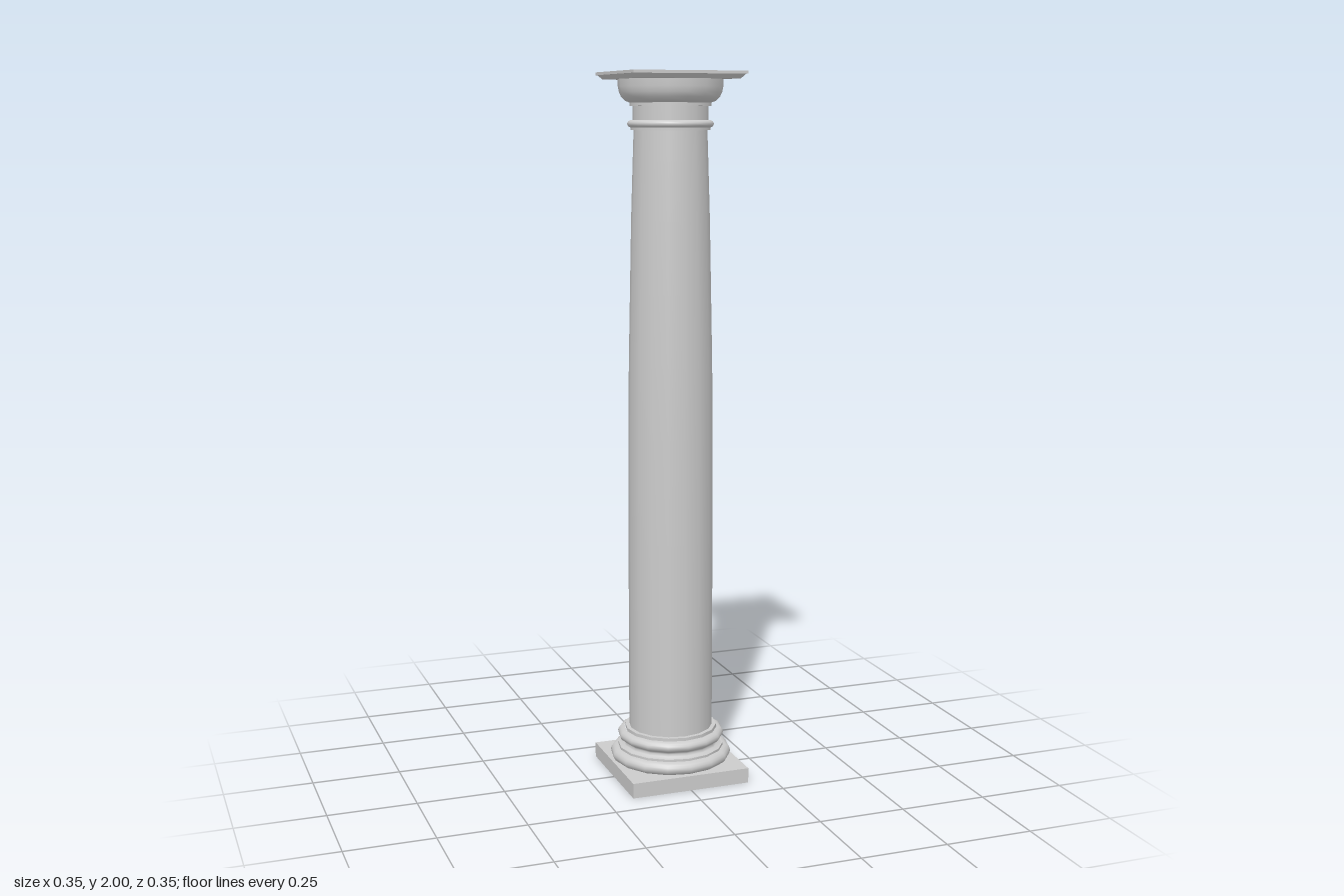
import * as THREE from 'three';

const SIDES = 16;
const material = new THREE.MeshStandardMaterial({ color: 0xcccccc });

export function createModel() {
  const column = new THREE.Group();
  column.name = 'column';

  const add = (name, geometry, y = 0) => {
    const mesh = new THREE.Mesh(geometry, material);
    mesh.name = name;
    mesh.position.y = y;
    column.add(mesh);
  };

  // Turned part: profile of [radius, height] from bottom to top
  const turned = (name, profile) =>
    add(name, new THREE.LatheGeometry(profile.map(([r, y]) => new THREE.Vector2(r, y)), SIDES));

  // Rounded moulding bulging from radius `inner` to `outer`, between two heights
  const roll = (name, inner, outer, y0, y1) => {
    const profile = [];
    for (let i = 0; i <= 8; i++) {
      const a = (i / 8 - 0.5) * Math.PI;
      profile.push([inner + (outer - inner) * Math.cos(a), (y0 + y1) / 2 + Math.sin(a) * (y1 - y0) / 2]);
    }
    turned(name, profile);
  };

  // Flat-topped ring with square edges
  const fillet = (name, r, y0, y1) =>
    add(name, new THREE.CylinderGeometry(r, r, y1 - y0, SIDES), (y0 + y1) / 2);

  // Square slab, optionally narrower at the bottom
  const slab = (name, top, bottom, y0, y1) => {
    const g = new THREE.BoxGeometry(2 * top, y1 - y0, 2 * top).toNonIndexed();
    const p = g.attributes.position;
    for (let i = 0; i < p.count; i++) {
      if (p.getY(i) < 0) {
        p.setX(i, Math.sign(p.getX(i)) * bottom);
        p.setZ(i, Math.sign(p.getZ(i)) * bottom);
      }
    }
    g.computeVertexNormals();
    add(name, g, (y0 + y1) / 2);
  };

  // Base
  slab('plinth', 0.174, 0.174, 0, 0.043);
  roll('lowerTorus', 0.153, 0.174, 0.043, 0.08);
  fillet('lowerFillet', 0.152, 0.078, 0.086);
  turned('scotia', [[0.148, 0.086], [0.138, 0.09], [0.134, 0.096], [0.137, 0.102], [0.142, 0.105]]);
  roll('upperTorus', 0.134, 0.153, 0.103, 0.134);
  fillet('upperFillet', 0.132, 0.132, 0.142);

  // Shaft with a gentle swelling, straight in its lower part
  turned('shaft', [
    [0.12, 0.14], [0.12, 0.7], [0.119, 1.0], [0.117, 1.2],
    [0.113, 1.4], [0.109, 1.6], [0.104, 1.76], [0.101, 1.85],
  ]);

  // Necking
  fillet('neckFillet', 0.11, 1.843, 1.852);
  roll('neckRing', 0.107, 0.119, 1.85, 1.87);
  fillet('neck', 0.104, 1.865, 1.915);

  // Capital
  fillet('capitalFillet', 0.112, 1.908, 1.918);
  turned('echinus', [
    [0.112, 1.917], [0.125, 1.922], [0.135, 1.932], [0.141, 1.945], [0.144, 1.96], [0.145, 1.984],
  ]);
  slab('abacusMoulding', 0.158, 0.147, 1.98, 1.992);
  slab('abacus', 0.162, 0.162, 1.992, 2);

  return column;
}
